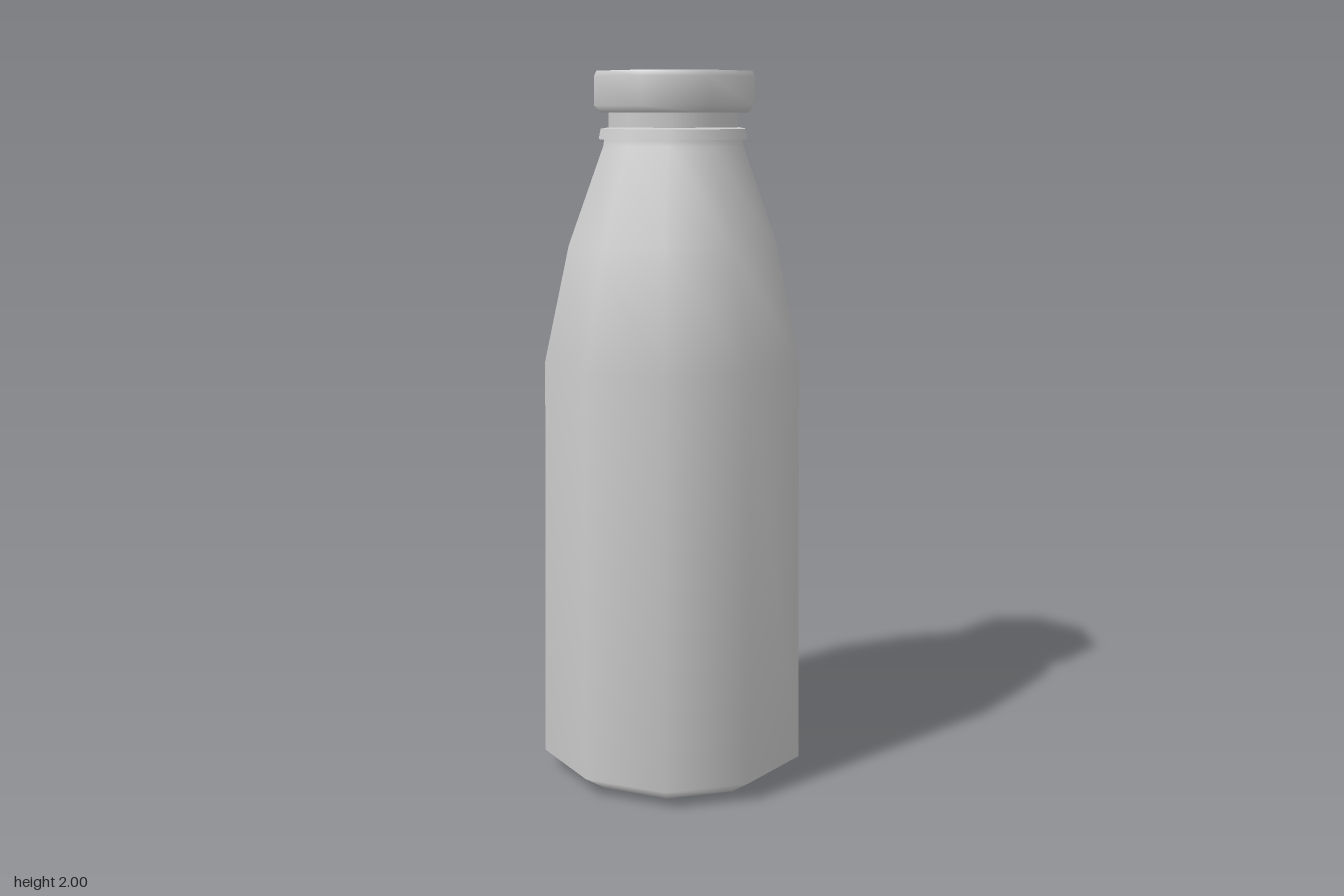
import * as THREE from 'three';

const material = new THREE.MeshStandardMaterial({ color: 0xcccccc });

// Revolves one smooth band (profile listed bottom to top, as [radius, height]); a corner lies on the x axis.
function band(name, sides, profile) {
  const points = profile.map(([r, y]) => new THREE.Vector2(r, y));
  const mesh = new THREE.Mesh(new THREE.LatheGeometry(points, sides, Math.PI / 2), material);
  mesh.name = name;
  return mesh;
}

export function createModel() {
  const model = new THREE.Group();
  model.name = 'bottle';

  // Ten-sided glass: flat base, tapered body and shoulder, collar ring, neck
  const glass = new THREE.Group();
  glass.name = 'glass';
  glass.add(
    band('base', 10, [[0, 0], [0.31, 0]]),
    band('body', 10, [[0.31, 0], [0.39, 0.055], [0.371, 1.21], [0.3, 1.53], [0.2, 1.8], [0.197, 1.82]]),
    band('collarUnderside', 10, [[0.195, 1.818], [0.213, 1.818]]),
    band('collar', 10, [[0.213, 1.818], [0.207, 1.846]]),
    band('collarTop', 10, [[0.207, 1.846], [0.185, 1.85]]),
    band('neck', 10, [[0.185, 1.85], [0.185, 1.9]])
  );

  // Eight-sided cap with softened rims
  const cap = new THREE.Group();
  cap.name = 'cap';
  cap.add(
    band('capUnderside', 8, [[0, 1.89], [0.215, 1.89]]),
    band('capSide', 8, [[0.215, 1.89], [0.235, 1.908], [0.235, 1.985], [0.227, 2]]),
    band('capTop', 8, [[0.227, 2], [0, 2]])
  );

  model.add(glass, cap);
  return model;
}
